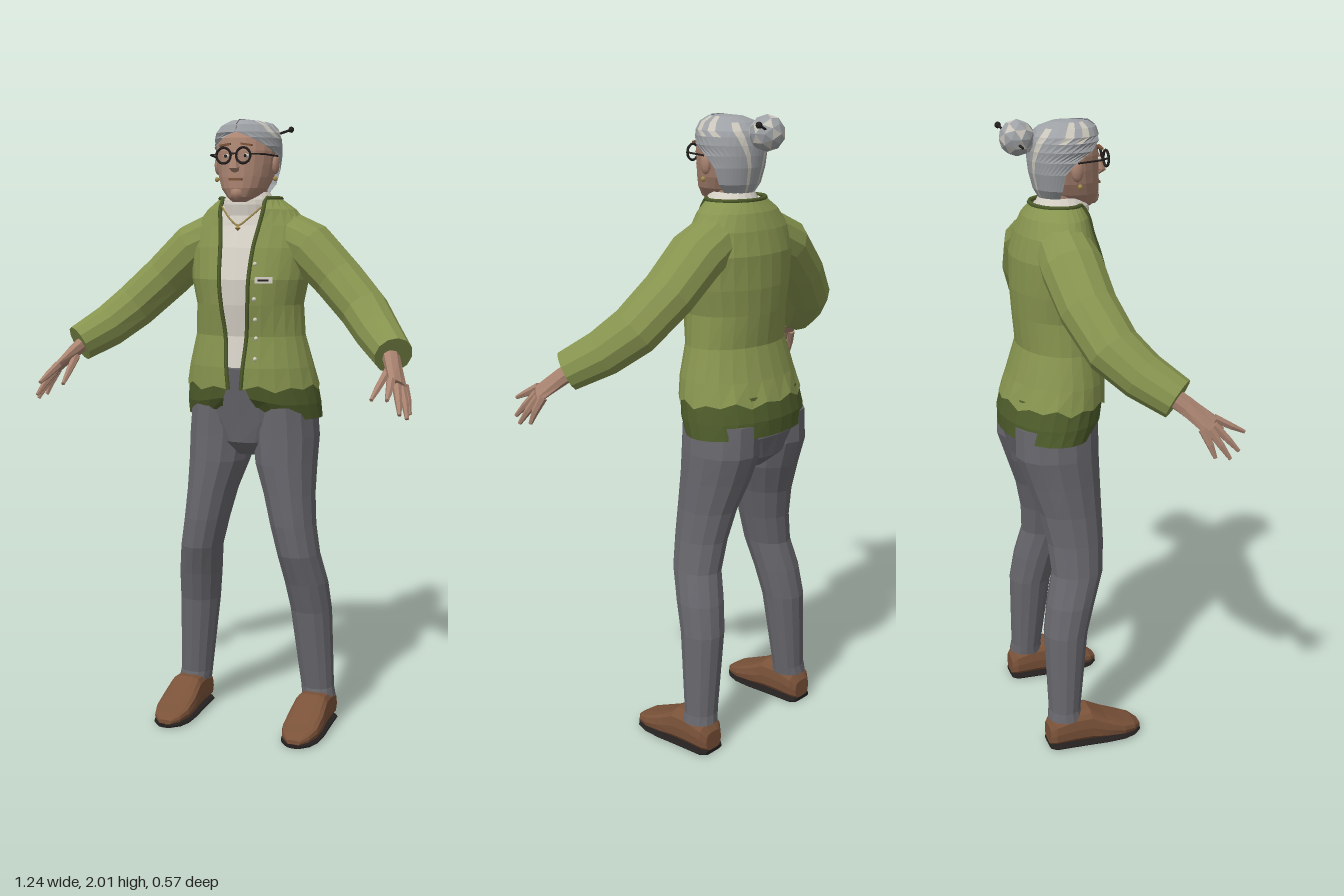
import * as THREE from 'three';

const V = (x, y, z) => new THREE.Vector3(x, y, z);
const mat = (name, color, side = THREE.FrontSide) => {
  const m = new THREE.MeshStandardMaterial({ color, side });
  m.name = name;
  return m;
};

// Faceted surface through rings of points; pick(row, column) chooses a material index
function skin(rings, { closed = true, caps = true, pick = null } = {}) {
  const pos = [], g = new THREE.BufferGeometry(), n = rings[0].length;
  const tri = (...p) => p.forEach(v => pos.push(v.x, v.y, v.z));
  for (let i = 0; i < rings.length - 1; i++) {
    for (let j = 0; j < (closed ? n : n - 1); j++) {
      const k = (j + 1) % n, a = rings[i], b = rings[i + 1];
      if (pick) g.addGroup(pos.length / 3, 6, pick(i, j));
      tri(a[j], a[k], b[k]);
      tri(a[j], b[k], b[j]);
    }
  }
  if (caps && closed) {
    [rings[0], rings[rings.length - 1]].forEach((r, end) => {
      const c = r.reduce((s, p) => s.add(p), V(0, 0, 0)).divideScalar(n);
      if (pick) g.addGroup(pos.length / 3, n * 3, 0);
      r.forEach((p, j) => end ? tri(c, p, r[(j + 1) % n]) : tri(c, r[(j + 1) % n], p));
    });
  }
  g.setAttribute('position', new THREE.Float32BufferAttribute(pos, 3));
  g.computeVertexNormals();
  return g;
}

// Level ellipse ring, open by angle t0 either side of the front
function ring(y, rx, zf, zb, t0 = null, cx = 0, n = 20) {
  const out = [], zc = (zf + zb) / 2, rz = (zf - zb) / 2;
  const start = t0 ?? 0, count = t0 === null ? n : n + 1;
  for (let j = 0; j < count; j++) {
    const t = start + (2 * Math.PI - 2 * start) * j / n;
    out.push(V(cx + rx * Math.sin(t), y, zc + rz * Math.cos(t)));
  }
  return out;
}

// Limb through [x, y, z, radius along side, radius across]
function limb(pts, side, n = 10) {
  const c = pts.map(p => V(p[0], p[1], p[2]));
  return skin(c.map((p, i) => {
    const t = c[Math.min(i + 1, c.length - 1)].clone().sub(c[Math.max(i - 1, 0)]).normalize();
    const u = side.clone().addScaledVector(t, -side.dot(t)).normalize();
    const v = t.clone().cross(u), [, , , ru, rv = ru] = pts[i];
    return Array.from({ length: n }, (_, j) => {
      const a = 2 * Math.PI * j / n;
      return p.clone().addScaledVector(u, ru * Math.cos(a)).addScaledVector(v, rv * Math.sin(a));
    });
  }));
}

export function createModel() {
  const root = new THREE.Group();
  root.name = 'elderlyWoman';
  const green = mat('cardiganGreen', 0x87944f, THREE.DoubleSide);
  const dark = mat('darkGreen', 0x4f5d2b, THREE.DoubleSide);
  const grey = mat('trouserGrey', 0x67676d);
  const cream = mat('cream', 0xd8d3c8);
  const flesh = mat('skin', 0xa98370);
  const hair = mat('hairGrey', 0x9ea1a5, THREE.DoubleSide);
  const streak = mat('hairLight', 0xc9c5ba, THREE.DoubleSide);
  const brown = mat('shoeBrown', 0x7a5239);
  const black = mat('black', 0x24201f);
  const gold = mat('gold', 0xa58d4e);
  const add = (name, geo, m, x = 0, y = 0, z = 0) => {
    const mesh = new THREE.Mesh(geo, m);
    mesh.name = name;
    mesh.position.set(x, y, z);
    root.add(mesh);
    return mesh;
  };

  // Cardigan body: y, half width, front z, back z, half opening
  const body = [
    [1.15, .226, .045, -.28, .022], [1.22, .212, .045, -.255, .028], [1.32, .186, .032, -.225, .036],
    [1.42, .179, .05, -.235, .045], [1.5, .196, .055, -.24, .05], [1.6, .205, .03, -.238, .056],
    [1.67, .19, .005, -.22, .066], [1.72, .15, -.005, -.2, .074], [1.755, .102, -.015, -.175, .074],
  ];
  const rows = body.map(([y, rx, zf, zb, gap]) => ring(y, rx, zf, zb, Math.asin(gap / rx), 0, 24));
  rows[0].forEach((p, j) => { p.y += [0, .014, -.008, .008][j % 4]; });
  add('cardigan', skin(rows, { closed: false }), green);
  const surfaceZ = (x, y) => {
    const i = Math.max(0, body.findIndex(r => r[0] > y) - 1), a = body[i], b = body[i + 1];
    const [, rx, zf, zb] = a.map((v, k) => v + (b[k] - v) * (y - a[0]) / (b[0] - a[0]));
    return (zf + zb) / 2 + (zf - zb) / 2 * Math.sqrt(1 - (x / rx) ** 2);
  };

  // Dark edging up both fronts and round the neck
  const edge = [...rows.map(r => r[0]), ...rows[8].slice(1, -1), ...rows.map(r => r[24]).reverse()];
  add('cardiganEdging', new THREE.TubeGeometry(new THREE.CatmullRomCurve3(edge), 90, .007, 5), dark);

  // Under-hem, rising towards the front opening
  const hem = [[1.05, .232, .005, -.285, .06], [1.1, .23, .03, -.287, .045], [1.175, .219, .04, -.27, .025]]
    .map(([y, rx, zf, zb, gap]) => ring(y, rx, zf, zb, Math.asin(gap / rx), 0, 24));
  hem.forEach((r, i) => r.forEach(p => { p.y += i < 2 ? .06 * Math.max(0, 1 - Math.abs(p.x) / .15) * (p.z > -.1) / (i + 1) : 0; }));
  add('underHem', skin(hem, { closed: false }), dark);

  // Shirt and roll collar
  add('shirt', skin(body.slice(1).map(([y, rx, zf, zb]) => ring(y, rx - .015, zf - .006, zb + .015))), cream);
  add('rollCollar', skin([ring(1.7, .088, 0, -.17), ring(1.735, .084, .005, -.165), ring(1.75, .08, .003, -.162),
    ring(1.775, .066, -.012, -.15)]), cream);

  // Buttons, badge and necklace
  [1.55, 1.44, 1.375, 1.315, 1.25].forEach(y =>
    add('button', new THREE.SphereGeometry(.007, 8, 6), cream, .066, y, surfaceZ(.066, y)));
  add('badge', new THREE.BoxGeometry(.055, .02, .008), cream, .1, 1.5, surfaceZ(.1, 1.5) + .012).rotation.y = .3;
  add('badgeBar', new THREE.BoxGeometry(.035, .006, .004), black, .1, 1.5, surfaceZ(.1, 1.5) + .018).rotation.y = .3;
  const chain = new THREE.CatmullRomCurve3([V(-.07, 1.73, -.02), V(-.03, 1.69, .008), V(0, 1.67, .014), V(.03, 1.69, .008), V(.07, 1.73, -.02)]);
  add('necklace', new THREE.TubeGeometry(chain, 20, .003, 4), gold);
  add('pendant', new THREE.OctahedronGeometry(.01), gold, 0, 1.662, .016);

  // Trousers
  add('trouserSeat', skin([ring(.925, .07, -.05, -.2), ring(.97, .14, -.012, -.255), ring(1.04, .214, 0, -.272),
    ring(1.12, .21, .015, -.265), ring(1.215, .19, .032, -.23)]), grey);
  const leg = [[.1, .172, .286, -.092, -.21], [.13, .168, .28, -.1, -.205], [.4, .133, .273, -.068, -.212],
    [.5, .118, .265, -.04, -.198], [.6, .103, .245, -.006, -.175], [.7, .078, .23, .002, -.182],
    [.8, .052, .222, .002, -.203], [.9, .016, .221, .002, -.238], [.99, .003, .222, 0, -.268], [1.09, .003, .213, 0, -.268]];
  // Shoe sections: z, half width, height
  const shoe = [[-.212, .035, .075], [-.195, .05, .1], [-.13, .054, .12], [-.075, .058, .122], [-.02, .063, .088],
    [.04, .062, .06], [.08, .048, .045], [.105, .022, .028]];
  const shoePart = (cx, low, grow, height) => skin(shoe.map(([z, w, h]) => Array.from({ length: 14 }, (_, j) => {
    const a = 2 * Math.PI * j / 14, q = v => Math.sign(v) * Math.abs(v) ** .6, top = height ?? h;
    return V(cx + (w + grow) * q(Math.cos(a)), low + (top - low) * (1 + q(Math.sin(a))) / 2, z);
  })));

  // Hand: fingertip and knuckle of each finger
  const fingers = [
    [[.53, 1.245, .125], [.52, 1.2, .195], [.513, 1.168, .243]], [[.558, 1.222, .195], [.567, 1.195, .245], [.572, 1.175, .285]],
    [[.573, 1.207, .187], [.59, 1.165, .225], [.602, 1.13, .255]], [[.583, 1.2, .17], [.603, 1.155, .198], [.616, 1.115, .223]],
    [[.585, 1.203, .148], [.602, 1.16, .165], [.612, 1.122, .178]],
  ];
  for (const s of [1, -1]) {
    add('trouserLeg', skin(leg.map(([y, a, b, zf, zb]) => ring(y, (b - a) / 2, zf, zb, null, s * (a + b) / 2, 14))), grey);
    add('shoe', shoePart(s * .23, .012, 0), brown);
    add('sole', shoePart(s * .23, 0, .003, .014), black);
    const m = pts => pts.map(([x, ...rest]) => [s * x, ...rest]);
    add('sleeve', limb(m([[.1, 1.645, -.11, .08, .085], [.2, 1.598, -.11, .084, .095], [.3, 1.502, -.095, .079, .09],
      [.4, 1.405, -.055, .076, .084], [.465, 1.34, .01, .07, .074], [.535, 1.285, .09, .06, .064]]), V(s, 1, 0), 12), green);
    const across = V(-.025 * s, .02, .045);
    add('palm', limb(m([[.515, 1.3, .065, .03, .026], [.54, 1.262, .115, .032, .022], [.575, 1.208, .178, .037, .014]]), across, 8), flesh);
    fingers.forEach(f => add('finger', limb(m(f.map((p, i) => [...p, [.014, .011, .006][i]])), across, 6), flesh));

    // Ears, earrings and glasses
    const ear = add('ear', new THREE.SphereGeometry(.026, 8, 6), flesh, s * .098, 1.86, -.06);
    ear.scale.set(.45, 1.2, .75);
    add('earring', new THREE.SphereGeometry(.008, 6, 5), gold, s * .1, 1.815, -.052);
    add('spectacleRim', new THREE.TorusGeometry(.024, .004, 6, 18), black, s * .033, 1.884, .052);
    add('spectacleArm', limb([[s * .057, 1.888, .05, .003], [s * .09, 1.888, .02, .003], [s * .105, 1.885, -.06, .003]], V(0, 1, 0), 5), black);
    const eye = add('eye', new THREE.SphereGeometry(.011, 8, 6), cream, s * .033, 1.884, .027);
    eye.scale.y = .55;
    add('pupil', new THREE.SphereGeometry(.005, 6, 5), black, s * .033, 1.884, .036);
    add('eyebrow', new THREE.BoxGeometry(.036, .006, .009), brown, s * .036, 1.918, .032).rotation.z = -s * .15;
  }

  // Head and neck
  add('neck', skin([ring(1.68, .06, -.03, -.145, null, 0, 12), ring(1.8, .058, -.025, -.14, null, 0, 12)]), flesh);
  add('face', skin([ring(1.742, .028, .012, -.05), ring(1.757, .048, .03, -.085), ring(1.785, .073, .036, -.125),
    ring(1.82, .087, .036, -.15), ring(1.86, .096, .034, -.16), ring(1.9, .1, .034, -.165), ring(1.94, .098, .025, -.165),
    ring(1.97, .075, -.005, -.13)]), flesh);
  add('nose', limb([[0, 1.9, .03, .009, .006], [0, 1.872, .042, .012, .012], [0, 1.848, .046, .018, .018], [0, 1.838, .036, .012, .008]], V(1, 0, 0), 8), flesh);
  add('chin', new THREE.SphereGeometry(.024, 8, 6), flesh, 0, 1.768, .018);
  add('mouth', new THREE.BoxGeometry(.045, .007, .008), brown, 0, 1.812, .035);
  add('spectacleBridge', new THREE.BoxGeometry(.02, .005, .005), black, 0, 1.89, .054);

  // Swept-back hair with pale streaks: y, half width, front z, back z, face opening angle
  const locks = [[1.765, .06, 0, -.145, 2.0], [1.8, .088, .01, -.165, 1.85], [1.85, .102, .02, -.178, 1.75],
    [1.885, .107, .026, -.182, 1.45], [1.915, .109, .032, -.183, .9], [1.94, .107, .035, -.18, .45], [1.957, .102, .034, -.174, .02],
    [1.98, .08, .027, -.15, .001], [1.995, .045, .005, -.11, .001], [2, .004, -.04, -.05, .001]]
    .map(([y, rx, zf, zb, t]) => ring(y, rx, zf, zb, t, 0, 24));
  add('hair', skin(locks, { closed: false, pick: (i, j) => (i > 4 && i < 8 && [4, 6, 17, 19].includes(j)) || (i < 7 && [9, 14].includes(j)) ? 1 : 0 }), [hair, streak]);
  add('parting', limb([[0, 1.981, .026, .002], [0, 1.996, .004, .002], [0, 2, -.045, .002]], V(1, 0, 0), 4), grey);

  // Bun and hairpin
  const ball = new THREE.IcosahedronGeometry(.054, 1);
  for (let f = 0; f < 80; f++) ball.addGroup(f * 3, 3, f % 4 === 1 ? 1 : 0);
  ball.computeVertexNormals();
  add('bun', ball, [hair, streak], 0, 1.952, -.215);
  add('bunRoot', new THREE.SphereGeometry(.035, 10, 8), hair, 0, 1.94, -.17);
  add('hairpin', limb([[-.065, 1.93, -.215, .004], [.08, 1.98, -.25, .004]], V(0, 1, 0), 6), black);
  add('hairpinBead', new THREE.SphereGeometry(.01, 8, 6), black, .08, 1.98, -.25);
  return root;
}
